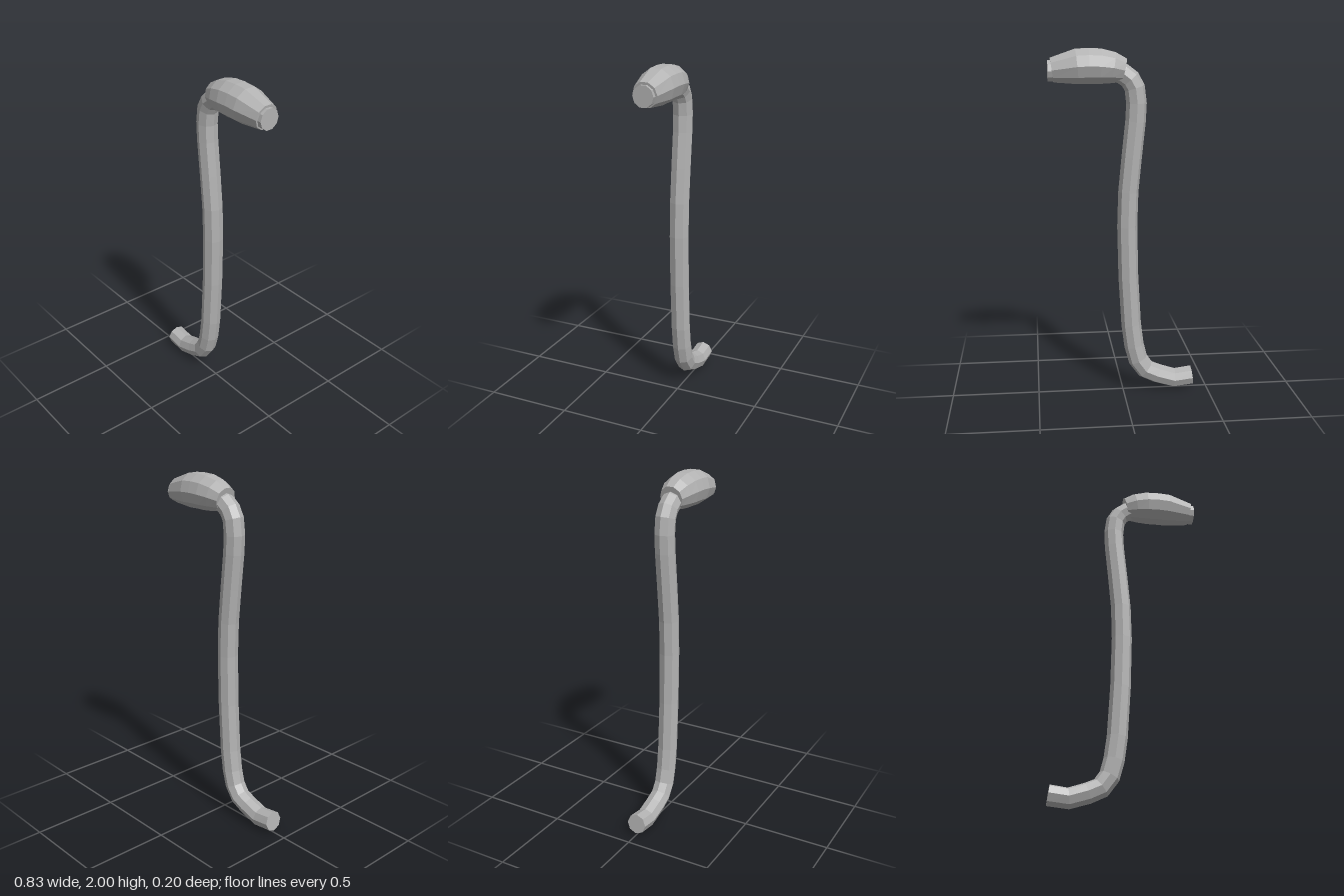
import * as THREE from 'three';

// Sweeps a regular polygon along a path in the z = 0 plane; sections are [x, y, radius].
function sweep(sections, sides, phase) {
  const pts = sections.map(([x, y]) => new THREE.Vector3(x, y, 0));
  const n = pts.length;
  const position = [];
  const index = [];
  const dir = (i) => pts[i + 1].clone().sub(pts[i]).normalize();
  pts.forEach((p, i) => {
    const t = new THREE.Vector3();
    if (i > 0) t.add(dir(i - 1));
    if (i < n - 1) t.add(dir(i));
    t.normalize();
    const r = sections[i][2];
    for (let j = 0; j < sides; j++) {
      const a = ((j + phase) / sides) * Math.PI * 2;
      const c = Math.cos(a) * r;
      position.push(p.x - t.y * c, p.y + t.x * c, Math.sin(a) * r);
    }
  });
  // Side walls
  for (let i = 0; i < n - 1; i++) {
    for (let j = 0; j < sides; j++) {
      const k = (j + 1) % sides;
      const a = i * sides + j, b = i * sides + k;
      index.push(a, b, a + sides, b, b + sides, a + sides);
    }
  }
  // End caps
  const last = (n - 1) * sides;
  for (let j = 1; j < sides - 1; j++) {
    index.push(0, j + 1, j, last, last + j, last + j + 1);
  }
  const geometry = new THREE.BufferGeometry();
  geometry.setAttribute('position', new THREE.Float32BufferAttribute(position, 3));
  geometry.setIndex(index);
  const flat = geometry.toNonIndexed();
  flat.computeVertexNormals();
  return flat;
}

export function createModel() {
  const group = new THREE.Group();
  const metal = new THREE.MeshStandardMaterial({ color: 0xb2b2b2, flatShading: true });
  metal.name = 'grey metal';

  const add = (name, sections, sides, phase) => {
    const mesh = new THREE.Mesh(sweep(sections, sides, phase), metal);
    mesh.name = name;
    group.add(mesh);
  };

  // Bent rod: foot, long shaft, then the bend into the grip
  const rod = [
    [-0.413, 0.077], [-0.305, 0.064], [-0.205, 0.095], [-0.135, 0.127],
    [-0.09, 0.19], [-0.066, 0.28], [-0.049, 0.41], [-0.032, 0.7],
    [-0.025, 1.0], [-0.031, 1.2], [-0.05, 1.4], [-0.071, 1.6],
    [-0.076, 1.7], [-0.066, 1.785], [-0.04, 1.832], [0.0, 1.862], [0.04, 1.875],
  ].map(([x, y]) => [x, y, 0.058]);
  add('rod', rod, 8, 0);

  // Faceted barrel grip with a slight arch
  add('grip', [
    [-0.006, 1.882, 0.068], [0.055, 1.896, 0.089], [0.125, 1.904, 0.1],
    [0.19, 1.906, 0.101], [0.255, 1.903, 0.1], [0.392, 1.884, 0.07],
  ], 10, 0.5);

  // Short stub at the end of the grip
  add('gripStub', [[0.34, 1.88, 0.059], [0.415, 1.88, 0.059]], 10, 0.5);

  return group;
}
